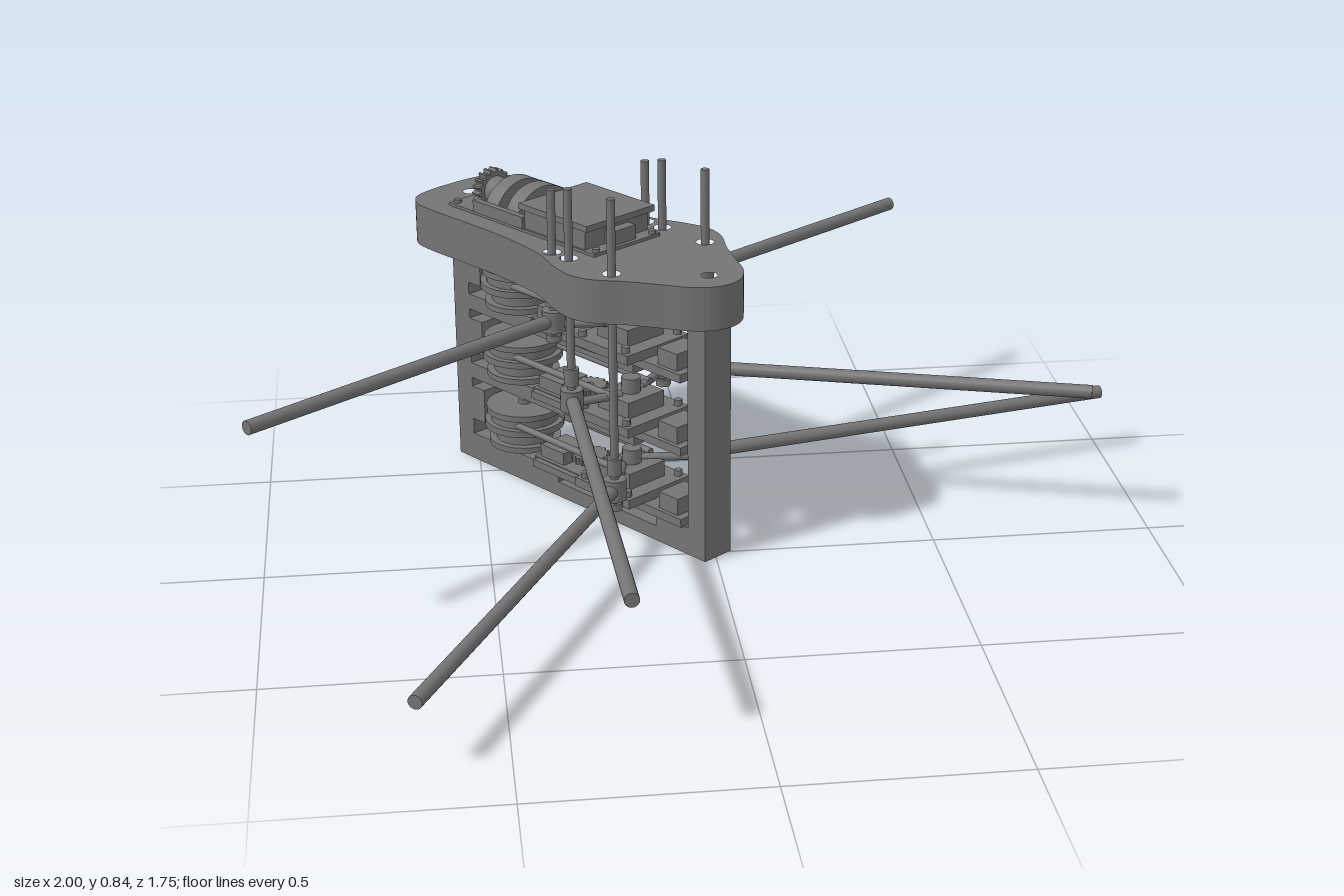
import * as THREE from 'three';

const material = new THREE.MeshStandardMaterial({ color: 0x747474 });

function add(parent, name, geometry, x = 0, y = 0, z = 0) {
  const mesh = new THREE.Mesh(geometry, material);
  mesh.name = name;
  mesh.position.set(x, y, z);
  parent.add(mesh);
  return mesh;
}

// Box given by its lower and upper corners
function block(parent, name, [x0, y0, z0], [x1, y1, z1]) {
  return add(parent, name, new THREE.BoxGeometry(x1 - x0, y1 - y0, z1 - z0),
    (x0 + x1) / 2, (y0 + y1) / 2, (z0 + z1) / 2);
}

// Cylinder running between two points
function rod(parent, name, from, to, radius, sides = 16) {
  const a = new THREE.Vector3(...from), b = new THREE.Vector3(...to);
  const dir = b.clone().sub(a);
  const mesh = add(parent, name, new THREE.CylinderGeometry(radius, radius, dir.length(), sides));
  mesh.position.copy(a).add(b).multiplyScalar(0.5);
  mesh.quaternion.setFromUnitVectors(new THREE.Vector3(0, 1, 0), dir.normalize());
  return mesh;
}

function hole(x, y, radius) {
  return new THREE.Path().absarc(x, y, radius, 0, Math.PI * 2, true);
}

// Plan outline (x, z) extruded downwards from its top
function slab(parent, name, shape, top, depth) {
  const geo = new THREE.ExtrudeGeometry(shape, { depth, bevelEnabled: false, curveSegments: 16 });
  geo.rotateX(Math.PI / 2);
  return add(parent, name, geo, 0, top, 0);
}

// Toothed wheel, axis along z
function gearGeometry(radius, teeth, depth, bore) {
  const shape = new THREE.Shape();
  for (let i = 0; i < teeth * 4; i++) {
    const a = i / (teeth * 4) * Math.PI * 2;
    const r = i % 4 < 2 ? radius : radius * 0.85;
    if (i) shape.lineTo(r * Math.cos(a), r * Math.sin(a));
    else shape.moveTo(r, 0);
  }
  shape.holes.push(hole(0, 0, bore));
  return new THREE.ExtrudeGeometry(shape, { depth, bevelEnabled: false });
}

// Curved top plate with mounting holes at the ends and spindle holes at the sides
function topPlate(parent) {
  const half = [[0.04, 0.06], [0.08, 0.025], [0.112, -0.03], [0.153, -0.098], [0.198, -0.16],
    [0.212, -0.21], [0.202, -0.27], [0.17, -0.36], [0.152, -0.5], [0.15, -0.65],
    [0.15, -0.76], [0.142, -0.815], [0.112, -0.852], [0.055, -0.866]];
  const pts = [[0, 0.07], ...half, [0, -0.868], ...half.slice().reverse().map(([x, z]) => [-x, z])]
    .map(([x, z]) => new THREE.Vector3(x, z, 0));
  const outline = new THREE.CatmullRomCurve3(pts, true).getPoints(120).slice(0, -1);
  const shape = new THREE.Shape(outline.map(p => new THREE.Vector2(p.x, p.y)));
  for (const z of [0, -0.79]) shape.holes.push(hole(0, z, 0.018));
  for (const z of [-0.155, -0.292, -0.347]) {
    for (const s of [-1, 1]) shape.holes.push(hole(s * 0.142, z, 0.02));
  }
  slab(parent, 'topPlate', shape, 0.665, 0.1);
}

// Narrow upright frame under the plate
function frame(parent) {
  const w = 0.04;
  for (const [name, z] of [['frontPost', 0], ['backPost', -0.79]]) {
    const shape = new THREE.Shape([[-w, z - 0.027], [w, z - 0.027], [w, z + 0.027], [-w, z + 0.027]]
      .map(p => new THREE.Vector2(...p)));
    shape.holes.push(hole(0, z, 0.018));
    slab(parent, name, shape, 0.565, 0.565);
  }
  block(parent, 'bottomBeam', [-w, 0, -0.763], [w, 0.036, -0.027]);
  block(parent, 'bottomBackPad', [-w, 0.036, -0.763], [w, 0.066, -0.46]);
  block(parent, 'bottomFrontPad', [-w, 0.036, -0.13], [w, 0.066, -0.027]);
  for (const y of [0.212, 0.388]) {
    block(parent, 'shelfBeam', [-w, y, -0.763], [w, y + 0.038, -0.2]);
  }
  for (const y of [0.105, 0.28, 0.455]) {
    block(parent, 'postBracket', [-w, y, -0.763], [w, y + 0.085, -0.72]);
  }
}

// Drive at one level: stacked wheels, slider carriage and rack
function drive(parent, level) {
  const g = new THREE.Group();
  g.name = 'levelDrive';
  g.position.y = level;
  parent.add(g);
  const zc = -0.62;
  for (const [y, r, h] of [[-0.065, 0.085, 0.014], [-0.043, 0.068, 0.03], [-0.02, 0.094, 0.016],
    [-0.002, 0.08, 0.022], [0.017, 0.09, 0.014]]) {
    add(g, 'driveWheel', new THREE.CylinderGeometry(r, r, h, 40), 0, y, zc);
  }
  rod(g, 'driveShaft', [0, -0.1, zc], [0, 0.035, zc], 0.014);
  block(g, 'sliderBase', [-0.05, -0.09, -0.53], [0.05, -0.07, -0.04]);
  block(g, 'carriage', [-0.095, -0.07, -0.34], [0.095, -0.048, -0.16]);
  block(g, 'motorBody', [-0.055, -0.048, -0.3], [0.055, -0.01, -0.2]);
  block(g, 'frontStop', [-0.04, -0.07, -0.12], [0.04, -0.03, -0.06]);
  block(g, 'backStop', [-0.04, -0.07, -0.52], [0.04, -0.04, -0.44]);
  rod(g, 'motorHub', [0, -0.01, -0.25], [0, 0.025, -0.25], 0.022, 24);
  const pinion = add(g, 'pinion', gearGeometry(0.045, 16, 0.015, 0.01), 0, -0.035, -0.39);
  pinion.rotation.x = Math.PI / 2;
  for (const s of [-1, 1]) {
    rod(g, 'pushRod', [s * 0.06, -0.005, -0.25], [s * 0.06, -0.005, zc], 0.008);
    block(g, 'rackBar', [s * 0.056 - 0.008, -0.09, -0.52], [s * 0.056 + 0.008, -0.072, -0.3]);
    for (const z of [-0.18, -0.32]) {
      rod(g, 'carriageBolt', [s * 0.08, -0.048, z], [s * 0.08, -0.034, z], 0.01, 6);
    }
  }
}

// Mirrored arms with their upright spindles and joints
function armPair(parent, level, pivotZ, tipX, tipZ, spindleTop) {
  for (const s of [-1, 1]) {
    const g = new THREE.Group();
    g.name = s > 0 ? 'leftArm' : 'rightArm';
    parent.add(g);
    const x = s * 0.142;
    rod(g, 'arm', [x, level, pivotZ], [s * tipX, level, tipZ], 0.0155, 20);
    rod(g, 'spindle', [x, level - 0.04, pivotZ], [x, spindleTop, pivotZ], 0.0095);
    rod(g, 'pivotBlock', [x, level - 0.025, pivotZ], [x, level + 0.025, pivotZ], 0.026, 24);
    rod(g, 'coupling', [x, level + 0.035, pivotZ], [x, level + 0.075, pivotZ], 0.017, 20);
    rod(g, 'lowerNut', [x, level - 0.05, pivotZ], [x, level - 0.034, pivotZ], 0.018, 6);
    rod(g, 'plateBushing', [x, 0.56, pivotZ], [x, 0.6, pivotZ], 0.02, 20);
    rod(g, 'crank', [x, level - 0.01, pivotZ], [s * 0.03, level - 0.01, -0.25], 0.01);
  }
}

// Motor housing, drums and gear on top of the plate
function topDrive(parent) {
  const g = new THREE.Group();
  g.name = 'topDrive';
  parent.add(g);
  block(g, 'mountingPlate', [-0.1, 0.66, -0.75], [0.1, 0.672, -0.255]);
  block(g, 'housing', [-0.095, 0.672, -0.49], [0.095, 0.718, -0.29]);
  block(g, 'housingLid', [-0.103, 0.718, -0.5], [0.103, 0.732, -0.275]);
  block(g, 'frontTerminal', [-0.035, 0.672, -0.29], [0.035, 0.705, -0.265]);
  for (const z of [-0.55, -0.62]) {
    // Half drums rising from the plate
    const drum = new THREE.CylinderGeometry(0.085, 0.085, 0.042, 32, 1, false, Math.PI / 2, Math.PI);
    drum.rotateX(Math.PI / 2);
    drum.scale(1, 0.9, 1);
    add(g, 'drum', drum, 0, 0.664, z);
  }
  rod(g, 'drumShaft', [0, 0.69, -0.5], [0, 0.69, -0.75], 0.018, 20);
  add(g, 'endGear', gearGeometry(0.05, 18, 0.025, 0.012), 0, 0.69, -0.725);
  rod(g, 'gearCollar', [0, 0.69, -0.7], [0, 0.69, -0.64], 0.034, 24);
  for (const s of [-1, 1]) {
    block(g, 'sideRail', [s * 0.095 - 0.008, 0.672, -0.66], [s * 0.095 + 0.008, 0.7, -0.49]);
    for (const z of [-0.265, -0.735]) {
      rod(g, 'plateScrew', [s * 0.085, 0.67, z], [s * 0.085, 0.68, z], 0.009, 12);
    }
  }
}

export function createModel() {
  const model = new THREE.Group();
  model.name = 'armMechanism';
  const body = new THREE.Group();
  body.name = 'body';
  body.position.x = -0.012;
  body.rotation.y = 0.661;
  model.add(body);

  topPlate(body);
  frame(body);
  topDrive(body);
  for (const level of [0.155, 0.33, 0.505]) drive(body, level);
  armPair(body, 0.155, -0.155, 1.06, 0.272, 0.835);
  armPair(body, 0.33, -0.292, 0.712, 0.506, 0.825);
  armPair(body, 0.505, -0.347, 0.976, -0.342, 0.81);
  return model;
}
